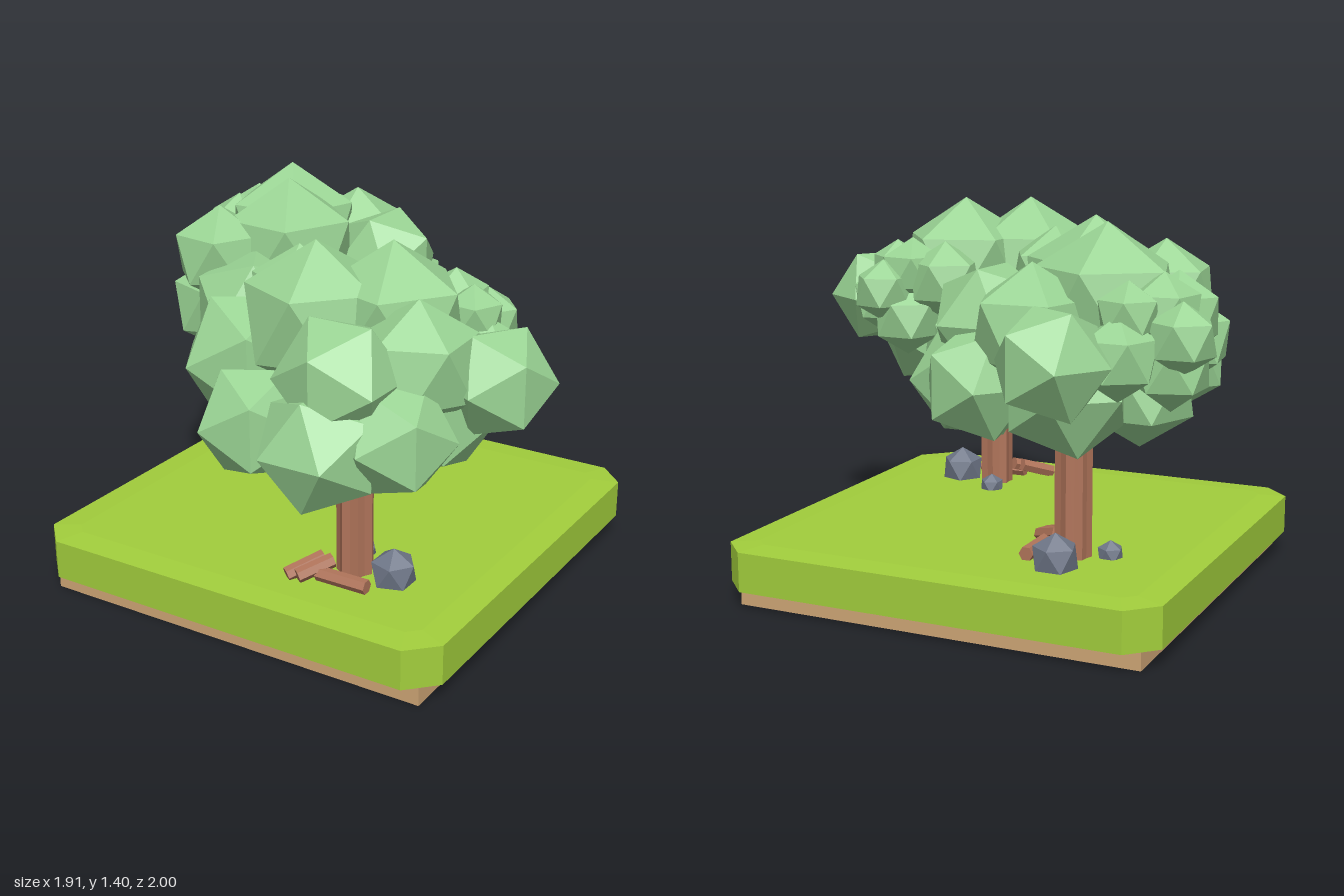
import * as THREE from 'three';

const material = (name, color) => {
  const m = new THREE.MeshStandardMaterial({ color });
  m.name = name;
  m.flatShading = true;
  return m;
};

export function createModel() {
  const model = new THREE.Group();
  model.name = 'treesOnGround';
  const grassMat = material('grass green', 0xa2ce3c);
  const soilMat = material('soil tan', 0xcfa676);
  const woodMat = material('wood brown', 0xb0745a);
  const leafMat = material('leaf green', 0x9ad494);
  const rockMat = material('rock grey', 0x6f7788);

  const add = (parent, name, geo, mat, x = 0, y = 0, z = 0) => {
    const mesh = new THREE.Mesh(geo, mat);
    mesh.name = name;
    mesh.position.set(x, y, z);
    parent.add(mesh);
    return mesh;
  };

  // Icosahedra: one lying on an edge, one standing on a point
  const edgeBlob = new THREE.IcosahedronGeometry(1, 0);
  const pointBlob = edgeBlob.clone().rotateZ(-0.5536);

  // Soil block
  add(model, 'soil', new THREE.BoxGeometry(1.53, 0.08, 1.53), soilMat, -0.018, 0.04, 0.035);

  // Grass slab with cut corners and a gently sloping rim
  const h = 0.725, c = 0.042;
  const outline = new THREE.Shape([
    [h - c, -h], [h, -h + c], [h, h - c], [h - c, h],
    [-h + c, h], [-h, h - c], [-h, -h + c], [-h + c, -h],
  ].map(([x, y]) => new THREE.Vector2(x, y)));
  const slab = new THREE.ExtrudeGeometry(outline, {
    depth: 0.146, bevelEnabled: true, bevelSize: 0.1, bevelThickness: 0.007, bevelSegments: 1,
  }).rotateX(-Math.PI / 2);
  add(model, 'grass', slab, grassMat, -0.018, 0.073, 0.025);

  // Ridged trunk outline, extruded upwards
  const ridges = [];
  for (let i = 0; i < 14; i++) {
    const a = (i / 14) * Math.PI * 2, r = i % 2 ? 0.057 : 0.067;
    ridges.push(new THREE.Vector2(Math.cos(a) * r, Math.sin(a) * r));
  }
  const trunkGeo = new THREE.ExtrudeGeometry(new THREE.Shape(ridges), { depth: 0.65, bevelEnabled: false })
    .rotateX(-Math.PI / 2);

  // Foliage clumps around the trunk: x, y, z, radius, turn
  const pointClumps = [
    [0.06, 1.13, -0.14, 0.27, 0], [-0.16, 1.13, -0.01, 0.27, 2.4],
    [-0.35, 1.12, -0.2, 0.19, 1.1], [0.26, 1.06, 0.04, 0.22, 3.2],
    [0.0, 0.84, -0.24, 0.2, 1.2], [-0.29, 0.9, -0.26, 0.19, 0.9],
    [0.03, 1.1, -0.38, 0.15, 0.3], [0.17, 1.13, -0.38, 0.13, 2.0],
    [0.25, 1.06, -0.47, 0.12, 1.3], [0.34, 1.0, -0.29, 0.14, 0.6],
    [0.18, 0.95, -0.41, 0.14, 2.8], [-0.12, 1.0, -0.37, 0.15, 1.7],
    [0.28, 1.13, -0.3, 0.11, 0.2],
  ];
  const edgeClumps = [
    [-0.42, 0.95, 0.01, 0.25, 0.55], [-0.22, 0.84, 0.27, 0.21, 0.5],
    [0.1, 1.05, 0.26, 0.22, 0], [0.08, 0.84, 0.345, 0.22, 1.57],
    [0.28, 0.87, 0.22, 0.205, 0.9], [0.465, 0.99, -0.12, 0.2, 1.0],
    [0.0, 0.93, 0.0, 0.27, 0.4], [-0.22, 0.85, 0.0, 0.21, 1.0],
    [0.25, 0.86, -0.08, 0.23, 0.7],
  ];

  // Chopped logs: two leaning, one lying flat
  const logGeo = new THREE.CylinderGeometry(0.027, 0.027, 1, 6);
  const logs = [
    [[-0.17, 0.24, 0.18], [-0.085, 0.285, 0.07]],
    [[-0.125, 0.247, 0.18], [-0.045, 0.285, 0.075]],
    [[-0.075, 0.248, 0.125], [0.122, 0.248, 0.125]],
  ];

  const makeTree = (name, x, z, turn) => {
    const tree = new THREE.Group();
    tree.name = name;
    tree.position.set(x, 0, z);
    tree.rotation.y = turn;
    model.add(tree);

    add(tree, 'trunk', trunkGeo, woodMat, 0, 0.2, 0);

    const canopy = new THREE.Group();
    canopy.name = 'canopy';
    tree.add(canopy);
    for (const [geo, clumps] of [[pointBlob, pointClumps], [edgeBlob, edgeClumps]]) {
      for (const [cx, cy, cz, r, spin] of clumps) {
        const clump = add(canopy, 'foliageClump', geo, leafMat, cx, cy, cz);
        clump.scale.setScalar(r);
        clump.rotation.y = spin;
      }
    }

    for (const [from, to] of logs) {
      const a = new THREE.Vector3(...from), b = new THREE.Vector3(...to);
      const log = add(tree, 'log', logGeo, woodMat);
      log.position.copy(a).add(b).multiplyScalar(0.5);
      log.scale.y = a.distanceTo(b);
      log.quaternion.setFromUnitVectors(new THREE.Vector3(0, 1, 0), b.sub(a).normalize());
    }

    add(tree, 'bigRock', pointBlob, rockMat, 0.155, 0.262, 0).scale.setScalar(0.088);
    add(tree, 'smallRock', pointBlob, rockMat, -0.04, 0.236, -0.125).scale.setScalar(0.05);
  };

  makeTree('frontTree', 0.305, 0.47, 0);
  makeTree('backTree', -0.385, -0.35, Math.PI / 2);
  return model;
}
